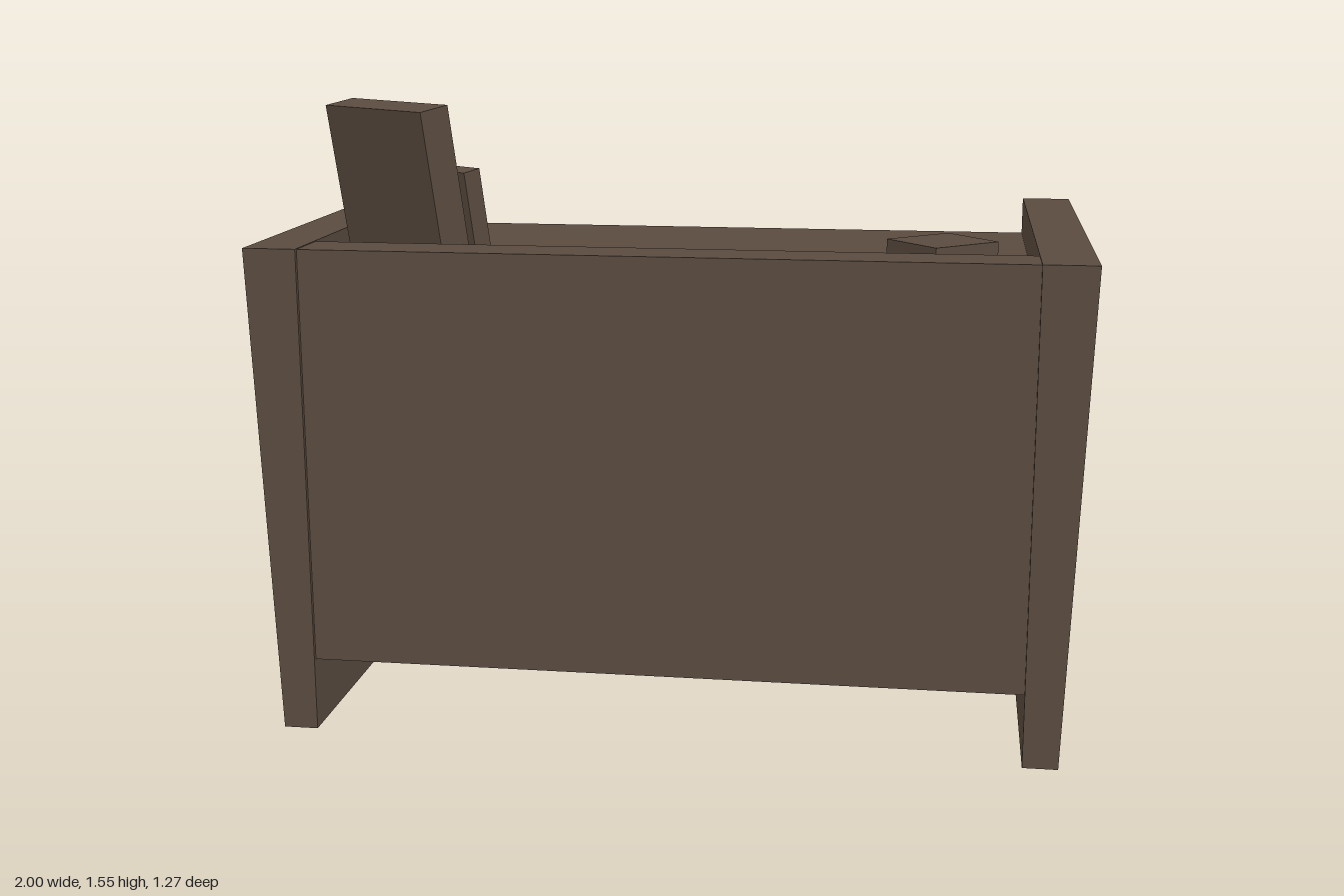
import * as THREE from 'three';
import { toCreasedNormals } from 'three/addons/utils/BufferGeometryUtils.js';

const wood = new THREE.MeshStandardMaterial({ color: 0x5a4b3f });
const black = new THREE.MeshStandardMaterial({ color: 0x080808 });
const glass = new THREE.MeshStandardMaterial({ color: 0x707274 });

function add(parent, name, geometry, material = wood) {
  const mesh = new THREE.Mesh(geometry, material);
  mesh.name = name;
  parent.add(mesh);
  return mesh;
}

// Box given by its limits on each axis
function box(parent, name, [x0, x1], [y0, y1], [z0, z1], material) {
  const mesh = add(parent, name, new THREE.BoxGeometry(x1 - x0, y1 - y0, z1 - z0), material);
  mesh.position.set((x0 + x1) / 2, (y0 + y1) / 2, (z0 + z1) / 2);
  return mesh;
}

function rectangle(x0, x1, y0, y1) {
  return new THREE.Shape([[x0, y0], [x1, y0], [x1, y1], [x0, y1]].map(p => new THREE.Vector2(...p)));
}

// Side panel whose outer face leans outward towards the top
function sidePanel(withHole) {
  const shape = rectangle(-0.627, 0.627, 0.015, 1.225);
  if (withHole) shape.holes.push(new THREE.Path().absarc(-0.025, 0.615, 0.265, 0, Math.PI * 2, true));
  const geo = new THREE.ExtrudeGeometry(shape, { depth: 1, bevelEnabled: false, curveSegments: 64 });
  geo.rotateY(Math.PI / 2);
  const pos = geo.attributes.position;
  for (let i = 0; i < pos.count; i++) {
    const outer = 0.955 + 0.045 * (pos.getY(i) - 0.015) / 1.21;
    pos.setX(i, pos.getX(i) > 0.5 ? outer : 0.87);
  }
  return toCreasedNormals(geo, 0.5);
}

// Leaning picture frame; its pivot is the lower back edge
function pictureFrame(name, w, h, t, paneW, border, x, z) {
  const frame = new THREE.Group();
  frame.name = name;
  const shape = rectangle(-w / 2, w / 2, 0, h);
  shape.holes.push(rectangle(-paneW / 2, paneW / 2, border, h - border));
  const depth = t * 0.35;
  const rim = add(frame, 'frameRim', new THREE.ExtrudeGeometry(shape, { depth, bevelEnabled: false }));
  rim.position.z = t - depth;
  box(frame, 'frameBack', [-w / 2, w / 2], [0, h], [0, t - depth]);
  box(frame, 'framePane', [-paneW / 2, paneW / 2], [border, h - border], [t - depth - 0.002, t - depth + 0.006], glass);
  frame.position.set(x, 1.125, z);
  frame.rotation.set(-0.16, 2.535, 0, 'YXZ');
  return frame;
}

function caster(x, z) {
  const group = new THREE.Group();
  group.name = 'caster';
  const wheel = new THREE.CylinderGeometry(0.035, 0.035, 0.019, 24).rotateZ(Math.PI / 2);
  for (const s of [-1, 1]) add(group, 'casterWheel', wheel).position.set(s * 0.016, 0.035, 0);
  // Hood over the wheels, hub between them and stem up to the cabinet
  const hood = new THREE.CylinderGeometry(0.04, 0.04, 0.052, 24, 1, false, Math.PI / 2, Math.PI).rotateZ(Math.PI / 2);
  hood.rotateX(-Math.PI / 2);
  const hub = new THREE.CylinderGeometry(0.018, 0.018, 0.05, 16).rotateZ(Math.PI / 2);
  add(group, 'casterHub', hub).position.y = 0.035;
  box(group, 'casterHood', [-0.027, 0.027], [0.05, 0.08], [-0.025, 0.025]);
  add(group, 'casterStem', new THREE.CylinderGeometry(0.018, 0.018, 0.03, 16)).position.y = 0.088;
  group.position.set(x, 0, z);
  return group;
}

// Flat half-ring pull hanging below its straight edge
function handle(y) {
  const shape = new THREE.Shape();
  shape.absarc(0, 0, 0.073, Math.PI, Math.PI * 2, false);
  shape.absarc(0, 0, 0.045, Math.PI * 2, Math.PI, true);
  const geo = new THREE.ExtrudeGeometry(shape, { depth: 0.016, bevelEnabled: false, curveSegments: 24 });
  const mesh = new THREE.Mesh(toCreasedNormals(geo, 0.5), black);
  mesh.name = 'drawerHandle';
  mesh.position.set(-0.58, y, -0.635);
  return mesh;
}

export function createModel() {
  const desk = new THREE.Group();
  desk.name = 'desk';

  // Sides, one with a round opening, and front panel
  add(desk, 'leftSidePanel', sidePanel(true)).position.z = 0.006;
  const right = add(desk, 'rightSidePanel', sidePanel(false));
  right.rotation.y = Math.PI;
  right.position.z = 0.006;
  box(desk, 'frontPanel', [-0.87, 0.87], [0.195, 1.223], [0.485, 0.622]);

  // Desktop with three drawers and rails below
  box(desk, 'desktop', [-0.87, 0.87], [1.07, 1.125], [-0.62, 0.485]);
  for (let i = -1; i <= 1; i++) {
    const x = i * 0.58;
    box(desk, 'deskDrawer', [x - 0.287, x + 0.287], [0.965, 1.06], [-0.612, 0.485]);
  }
  box(desk, 'drawerCore', [-0.87, 0.87], [0.98, 1.07], [-0.59, 0.485]);
  for (const x of [-0.29, 0.29]) box(desk, 'drawerRail', [x - 0.01, x + 0.01], [0.945, 0.98], [-0.59, 0.42]);

  // Rolling cabinet with grooved drawer fronts
  const cabinet = new THREE.Group();
  cabinet.name = 'cabinet';
  desk.add(cabinet);
  box(cabinet, 'cabinetBody', [-0.868, -0.3], [0.1, 0.82], [-0.595, -0.03]);
  for (const span of [[0.1, 0.483], [0.495, 0.643], [0.655, 0.775], [0.787, 0.82]]) {
    box(cabinet, 'cabinetFront', [-0.868, -0.3], span, [-0.62, -0.595]);
  }
  cabinet.add(handle(0.475), handle(0.632));
  for (const x of [-0.81, -0.365]) for (const z of [-0.52, -0.095]) cabinet.add(caster(x, z));

  // Things on the desktop
  desk.add(pictureFrame('largeFrame', 0.37, 0.42, 0.085, 0.21, 0.095, -0.702, 0.355));
  desk.add(pictureFrame('smallFrame', 0.25, 0.265, 0.05, 0.15, 0.05, -0.592, 0.306));
  const block = add(desk, 'deskBox', new THREE.BoxGeometry(0.198, 0.095, 0.188));
  block.position.set(0.645, 1.1725, 0.238);
  block.rotation.y = 0.71;
  return desk;
}
